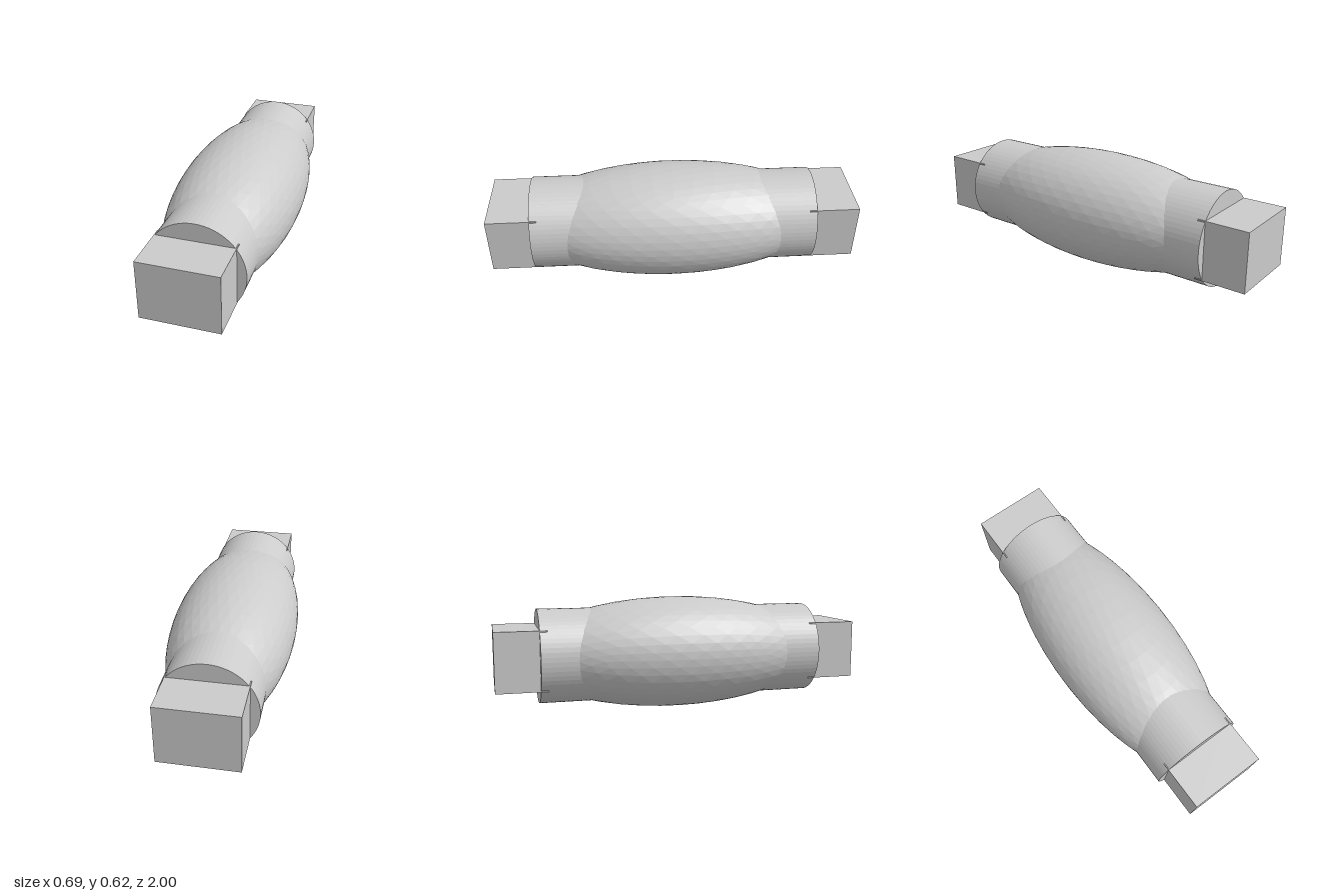
import * as THREE from 'three';

const CENTER_Y = 0.31;

export function createModel() {
  const group = new THREE.Group();
  const material = new THREE.MeshStandardMaterial({ color: 0xcccccc, flatShading: true });

  function add(name, geometry, z = 0) {
    const mesh = new THREE.Mesh(geometry, material);
    mesh.name = name;
    mesh.position.set(0, CENTER_Y, z);
    group.add(mesh);
    return mesh;
  }

  // Faceted bulging grip, a stretched ball
  add('grip', new THREE.IcosahedronGeometry(1, 7).scale(0.343, 0.308, 0.86));

  // Round core running through the grip, its ends showing as collars
  add('core', new THREE.CylinderGeometry(0.254, 0.254, 1.54, 64).rotateX(Math.PI / 2));

  // Square end blocks, let slightly into the core
  for (const side of [1, -1]) {
    add(side > 0 ? 'frontBlock' : 'backBlock', new THREE.BoxGeometry(0.408, 0.316, 0.27), side * 0.865);
  }

  return group;
}
